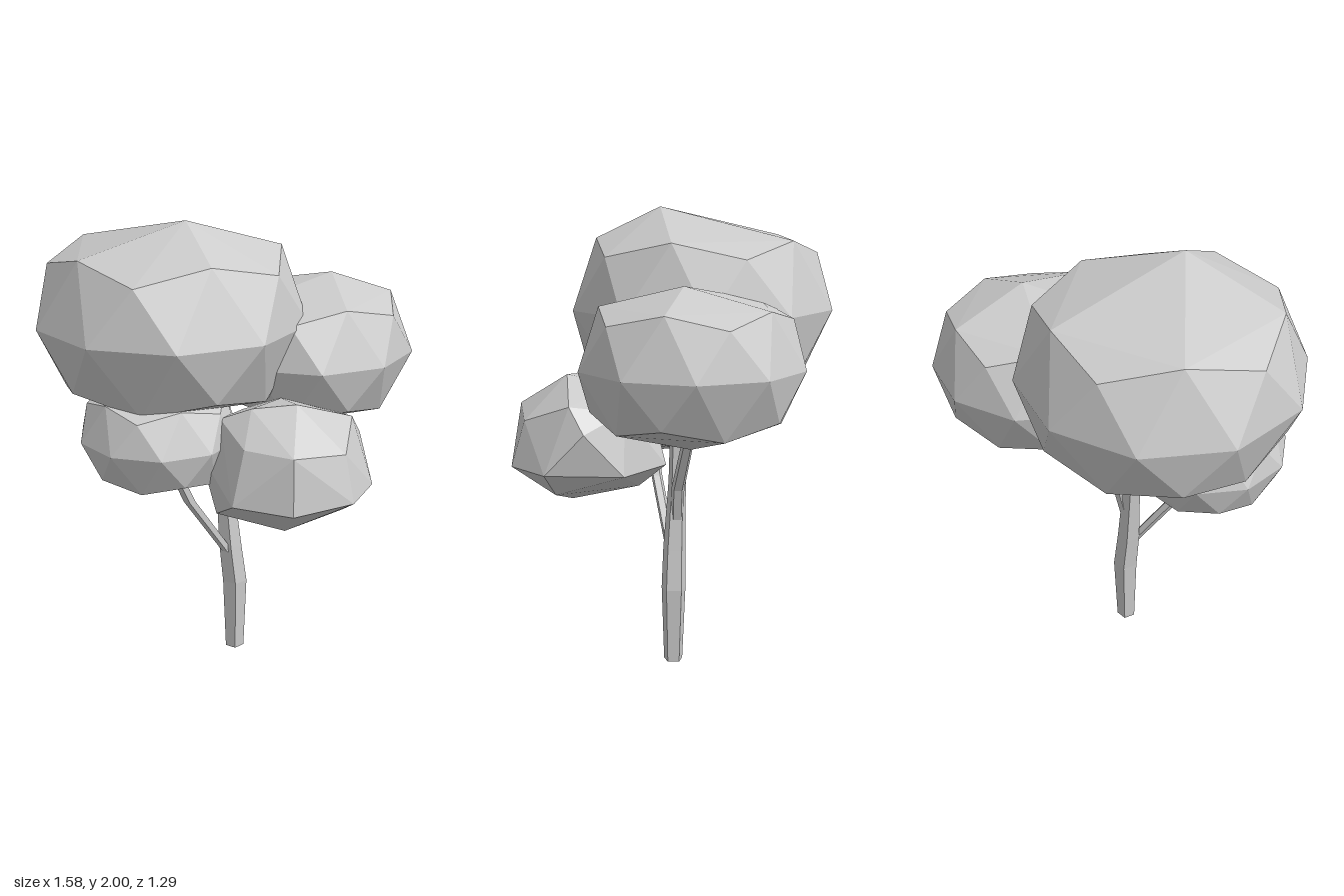
import * as THREE from 'three';
import { ConvexGeometry } from 'three/addons/geometries/ConvexGeometry.js';

const material = new THREE.MeshStandardMaterial({ color: 0xcccccc, flatShading: true });

function addMesh(group, name, geometry) {
  const mesh = new THREE.Mesh(geometry, material);
  mesh.name = name;
  group.add(mesh);
}

// Flattened faceted crown: ten-sided equator, an alternating ring above and
// below it, and two poles; the top pole may be shifted sideways.
function crownGeometry([cx, cy, cz], r, topX, topZ, topY, bottomY) {
  const points = [
    new THREE.Vector3(cx + topX, topY, cz + topZ),
    new THREE.Vector3(cx, bottomY, cz),
  ];
  const add = (deg, radius, dy) => {
    const a = THREE.MathUtils.degToRad(deg);
    points.push(new THREE.Vector3(
      cx + Math.cos(a) * radius * r, cy + dy * r, cz + Math.sin(a) * radius * r));
  };
  for (let k = 0; k < 10; k++) {
    add(18 + 36 * k, 1, 0);
    const inner = k % 2 === 0;
    add(36 * k, inner ? 0.785 : 0.875, inner ? 0.51 : 0.4);
    add(36 * k, inner ? 0.875 : 0.785, inner ? -0.4 : -0.51);
  }
  return new ConvexGeometry(points);
}

// Five-sided limb through [x, y, z, radius] stations, listed bottom to top.
function limbGeometry(stations) {
  const last = stations.length - 1;
  const geometry = new THREE.CylinderGeometry(1, 1, 1, 5, last);
  const p = geometry.attributes.position;
  for (let i = 0; i < p.count; i++) {
    const [x, y, z, r] = stations[Math.round((p.getY(i) + 0.5) * last)];
    p.setXYZ(i, x + p.getX(i) * r, y, z + p.getZ(i) * r);
  }
  geometry.computeVertexNormals();
  return geometry;
}

export function createModel() {
  const tree = new THREE.Group();
  tree.name = 'tree';

  // Trunk and branches
  addMesh(tree, 'trunk', limbGeometry([
    [0.025, 0, -0.02, 0.043], [0.025, 0.34, -0.022, 0.056],
    [0.005, 0.52, -0.02, 0.052], [-0.02, 0.82, -0.025, 0.04], [-0.03, 1.25, -0.03, 0.035],
  ]));
  addMesh(tree, 'leftBranch', limbGeometry([
    [-0.01, 0.5, 0, 0.025], [-0.18, 0.8, 0.12, 0.026], [-0.25, 0.98, 0.17, 0.025],
  ]));
  addMesh(tree, 'rightBranch', limbGeometry([
    [0, 0.64, -0.03, 0.03], [0.04, 0.8, -0.045, 0.03], [0.2, 1.17, -0.16, 0.025],
  ]));

  // Crowns
  addMesh(tree, 'topCrown', crownGeometry([-0.235, 1.57, -0.07], 0.582, 0.055, 0.17, 2, 1.15));
  addMesh(tree, 'sideCrown', crownGeometry([0.355, 1.4, -0.19], 0.46, 0.1, 0, 1.72, 1.06));
  addMesh(tree, 'lowerCrown', crownGeometry([-0.3, 1.13, 0.14], 0.34, 0, 0, 1.36, 0.89));

  // Small front crown with a lower, irregular outline
  const front = [
    [0.24, 1.32, 0.38], [0.2, 1.28, 0.18], [0.06, 1.3, 0.36], [-0.06, 1.24, 0.3],
    [0.2, 1.18, 0.61], [0.48, 1.23, 0.28], [0.02, 1.18, 0.5], [0.42, 1.15, 0.5],
    [-0.14, 1.07, 0.24], [0.53, 1.13, 0.2], [0.05, 1.2, 0.08], [0.38, 1.2, 0.08],
    [0.2, 0.95, 0.64], [0.45, 0.96, 0.55], [0.56, 0.96, 0.36], [-0.03, 0.96, 0.55],
    [0.45, 0.95, 0.06], [0.2, 0.95, -0.04], [-0.05, 0.95, 0.06],
    [0.44, 0.85, 0.36], [0.2, 0.77, 0.38], [-0.08, 0.85, 0.36], [0.2, 0.85, 0.08],
  ];
  addMesh(tree, 'frontCrown', new ConvexGeometry(front.map(v => new THREE.Vector3(...v))));

  return tree;
}
